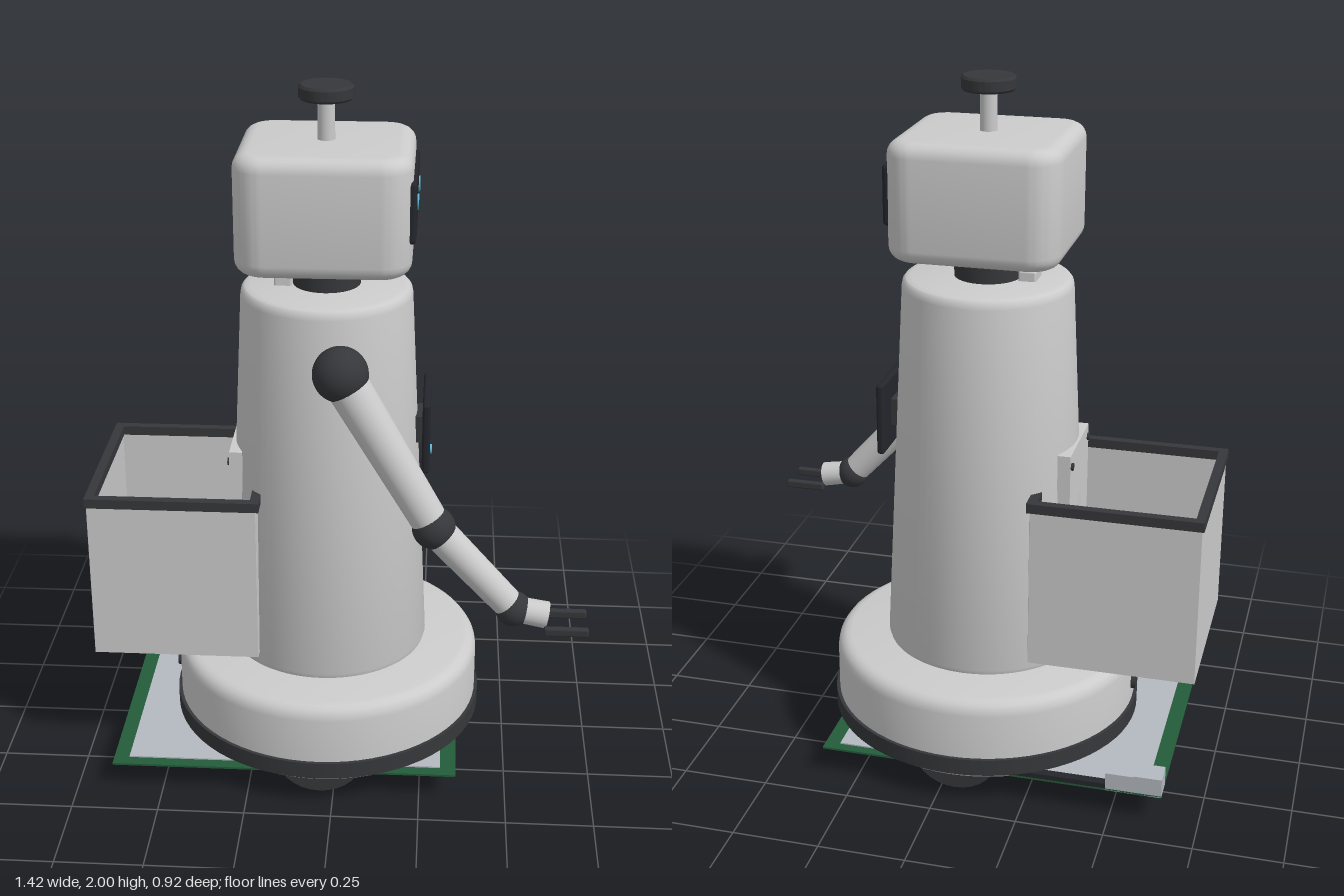
import * as THREE from 'three';
import { toCreasedNormals } from 'three/addons/utils/BufferGeometryUtils.js';
import { RoundedBoxGeometry } from 'three/addons/geometries/RoundedBoxGeometry.js';

const AXIS = -0.04; // x of the robot's vertical axis
const mat = (color) => new THREE.MeshStandardMaterial({ color });
const V = (x, y, z) => new THREE.Vector3(x, y, z);

export function createModel() {
  const root = new THREE.Group();
  const grey = mat(0xcccccc);
  const dark = mat(0x36373a);
  const black = mat(0x24262c);
  const glow = mat(0x5bbad8);
  const green = mat(0x235c3b);
  const pale = mat(0xb4b9c0);

  const add = (name, geometry, material, x = 0, y = 0, z = 0) => {
    const mesh = new THREE.Mesh(geometry, material);
    mesh.name = name;
    mesh.position.set(x, y, z);
    root.add(mesh);
    return mesh;
  };
  // Box given by its limits on each axis
  const box = (name, m, x0, x1, y0, y1, z0, z1, r = 0) => {
    const size = [x1 - x0, y1 - y0, z1 - z0];
    const g = r ? new RoundedBoxGeometry(...size, 3, r) : new THREE.BoxGeometry(...size);
    return add(name, g, m, (x0 + x1) / 2, (y0 + y1) / 2, (z0 + z1) / 2);
  };
  const ball = (name, m, r, p) => add(name, new THREE.SphereGeometry(r, 32, 20), m, p.x, p.y, p.z);
  const rod = (name, m, a, b, ra, rb) => {
    const d = b.clone().sub(a);
    const mesh = add(name, new THREE.CylinderGeometry(rb, ra, d.length(), 32), m);
    mesh.position.copy(a).add(b).multiplyScalar(0.5);
    mesh.quaternion.setFromUnitVectors(V(0, 1, 0), d.normalize());
    return mesh;
  };
  const lathe = (name, m, points) => {
    const g = new THREE.LatheGeometry(points.map((p) => new THREE.Vector2(...p)), 72);
    return add(name, toCreasedNormals(g, 0.6), m, AXIS);
  };
  const rectangle = (hx, hz, r = 0.001, path = new THREE.Shape()) => {
    path.absarc(hx - r, hz - r, r, 0, Math.PI / 2);
    path.absarc(-hx + r, hz - r, r, Math.PI / 2, Math.PI);
    path.absarc(-hx + r, -hz + r, r, Math.PI, Math.PI * 1.5);
    path.absarc(hx - r, -hz + r, r, Math.PI * 1.5, Math.PI * 2);
    path.closePath();
    return path;
  };
  // Square tube standing upright, open at both ends
  const frame = (name, m, x, y, hx, hz, wall, height) => {
    const shape = rectangle(hx, hz);
    shape.holes.push(rectangle(hx - wall, hz - wall, 0.001, new THREE.Path()));
    const g = new THREE.ExtrudeGeometry(shape, { depth: height, bevelEnabled: false });
    return add(name, g.rotateX(-Math.PI / 2), m, x, y, 0);
  };

  // Round base with softened top edge, and bumper ring
  lathe('base', grey, [[0, 0.077], [0.43, 0.077], [0.45, 0.1], [0.45, 0.285],
    [0.447, 0.302], [0.438, 0.316], [0.425, 0.324], [0.41, 0.327], [0, 0.327]]);
  lathe('bumper', dark, [[0.44, 0.1], [0.46, 0.1], [0.46, 0.15], [0.44, 0.15]]);

  // Drive wheels and ball casters
  for (const s of [-1, 1]) {
    rod('driveWheel', dark, V(AXIS, 0.133, s * 0.307), V(AXIS, 0.133, s * 0.38), 0.133, 0.133);
    ball('caster', dark, 0.035, V(AXIS + s * 0.287, 0.037, 0));
  }

  // Charging port on the rear of the base
  rod('chargingPort', dark, V(-0.485, 0.21, 0), V(-0.502, 0.21, 0), 0.026, 0.026);

  // Tapered torso, neck and small fitting on the shoulder deck
  lathe('torso', grey, [[0, 0.325], [0.28, 0.325], [0.291, 0.331], [0.295, 0.345],
    [0.242, 1.415], [0.239, 1.43], [0.231, 1.439], [0.215, 1.443], [0, 1.443]]);
  rod('neck', dark, V(AXIS, 1.44, 0), V(AXIS, 1.53, 0), 0.095, 0.095);
  box('deckFitting', grey, -0.185, -0.135, 1.435, 1.472, -0.04, 0.04, 0.006);

  // Head: rounded block with larger upright corners
  const bevel = 0.04;
  const headGeometry = new THREE.ExtrudeGeometry(rectangle(0.24 - bevel, 0.23 - bevel, 0.045), {
    depth: 0.33 - 2 * bevel, bevelSize: bevel, bevelThickness: bevel, bevelSegments: 5, curveSegments: 8,
  });
  add('head', toCreasedNormals(headGeometry.rotateX(-Math.PI / 2), 0.7), grey, AXIS, 1.52 + bevel, 0);

  // Face screen and eyes
  box('faceScreen', black, 0.18, 0.21, 1.612, 1.782, -0.18, 0.18, 0.012);
  for (const s of [-1, 1]) {
    rod('eye', glow, V(0.2, 1.705, s * 0.086), V(0.214, 1.705, s * 0.086), 0.022, 0.022);
  }

  // Sensor mast and puck
  rod('mast', grey, V(AXIS, 1.84, 0), V(AXIS, 1.965, 0), 0.024, 0.024);
  lathe('sensorPuck', dark, [[0, 1.96], [0.07, 1.96], [0.075, 1.966], [0.075, 1.993], [0.069, 2], [0, 2]]);

  // Chest tablet with indicator light
  box('tabletMount', dark, 0.19, 0.24, 0.98, 1.06, -0.05, 0.05);
  box('tablet', black, 0.236, 0.258, 0.915, 1.127, -0.125, 0.125, 0.008);
  rod('tabletLight', glow, V(0.25, 0.938, 0), V(0.264, 0.938, 0), 0.014, 0.014);

  // Single arm on the +z side
  const shoulder = V(0.018, 1.3, 0.328);
  const elbow = V(0.275, 0.87, 0.363);
  const wrist = V(0.5, 0.625, 0.363);
  const palm = V(0.595, 0.607, 0.363);
  rod('shoulderPin', dark, V(0, 1.3, 0.2), shoulder, 0.04, 0.04);
  ball('shoulder', dark, 0.076, shoulder);
  rod('upperArm', grey, shoulder, elbow, 0.06, 0.05);
  ball('elbow', dark, 0.06, elbow);
  rod('forearm', grey, elbow, wrist, 0.048, 0.042);
  ball('wrist', dark, 0.05, wrist);
  rod('hand', grey, wrist, palm, 0.036, 0.038);
  for (const s of [-1, 1]) {
    const z = 0.363 + s * 0.05;
    box('finger', dark, 0.585, 0.708, 0.572, 0.597, z - 0.01, z + 0.01, 0.006);
  }

  // Open cargo bin at the rear, with rim and mounting plate
  frame('binWalls', grey, -0.465, 0.375, 0.24, 0.26, 0.016, 0.48);
  box('binFloor', grey, -0.7, -0.23, 0.375, 0.392, -0.255, 0.255);
  frame('binRim', dark, -0.463, 0.848, 0.247, 0.265, 0.026, 0.028);
  box('binBracket', grey, -0.312, -0.275, 0.62, 0.97, -0.13, 0.13);
  for (const s of [-1, 1]) {
    rod('bracketScrew', dark, V(-0.3, 0.935, s * 0.115), V(-0.318, 0.935, s * 0.115), 0.011, 0.011);
  }

  // Floor plate under the base with sheet, connector and contact strip
  box('floorPlate', green, -0.645, 0.355, 0.079, 0.085, -0.4, 0.4);
  box('floorSheet', pale, -0.6, 0.31, 0.085, 0.089, -0.372, 0.367);
  box('cornerConnector', pale, -0.645, -0.565, 0.08, 0.138, -0.4, -0.33);
  box('connectorTab', pale, -0.565, -0.485, 0.08, 0.135, -0.4, -0.37);
  box('contactStrip', black, -0.485, -0.2, 0.085, 0.1, -0.4, -0.374);
  return root;
}
